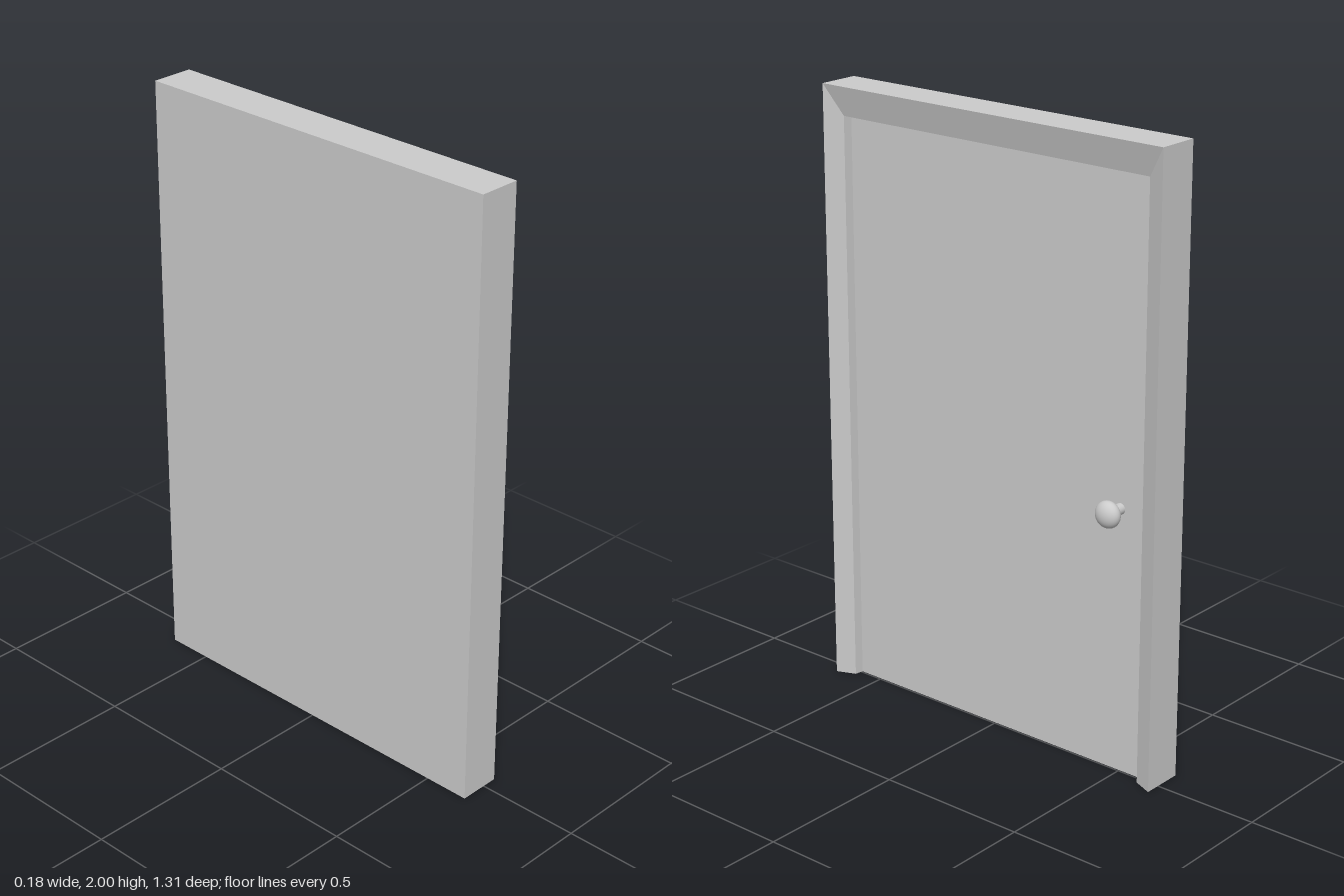
import * as THREE from 'three';

const grey = () => new THREE.MeshStandardMaterial({ color: 0xcccccc, side: THREE.DoubleSide });

// Door-shaped outline at depth x: up one jamb, across the head, down the other
const outline = ([x, w, h]) => [[x, 0, -w], [x, h, -w], [x, h, w], [x, 0, w]];

// Flat-shaded surface joining two outlines, open at the floor
function archStrip(name, from, to) {
  const a = outline(from), b = outline(to), p = [];
  for (let i = 0; i < 3; i++) {
    p.push(...a[i], ...a[i + 1], ...b[i + 1], ...a[i], ...b[i + 1], ...b[i]);
  }
  const g = new THREE.BufferGeometry();
  g.setAttribute('position', new THREE.Float32BufferAttribute(p, 3));
  g.computeVertexNormals();
  const m = new THREE.Mesh(g, grey());
  m.name = name;
  return m;
}

// Upright sheet facing +x (dir = 1) or -x (dir = -1)
function sheet(name, [x, w, h], dir) {
  const m = new THREE.Mesh(new THREE.PlaneGeometry(2 * w, h), grey());
  m.rotation.y = dir * Math.PI / 2;
  m.position.set(x, h / 2, 0);
  m.name = name;
  return m;
}

export function createModel() {
  const model = new THREE.Group();
  model.name = 'door';

  // Cross-section stations: [depth x, half width, height]
  const back = [-0.09, 0.653, 2];
  const front = [0.05, 0.653, 2];
  const lip = [0.024, 0.59, 1.902];
  const panel = [-0.005, 0.586, 1.898];

  // Hollow casing, open underneath
  model.add(
    sheet('backPanel', back, -1),
    archStrip('frameSides', back, front),
    archStrip('frameFace', front, lip),
    archStrip('frameReveal', lip, panel),
    sheet('doorPanel', panel, 1)
  );

  // Knob on a short stem
  const handle = new THREE.Group();
  handle.name = 'handle';
  handle.position.set(0, 0.867, -0.486);
  const stem = new THREE.Mesh(new THREE.CylinderGeometry(0.018, 0.018, 0.05, 24), grey());
  stem.name = 'stem';
  stem.rotation.z = -Math.PI / 2;
  stem.position.x = 0.02;
  const knob = new THREE.Mesh(new THREE.SphereGeometry(0.043, 32, 20), grey());
  knob.name = 'knob';
  knob.scale.x = 0.7;
  knob.position.x = 0.056;
  handle.add(stem, knob);
  model.add(handle);

  return model;
}
